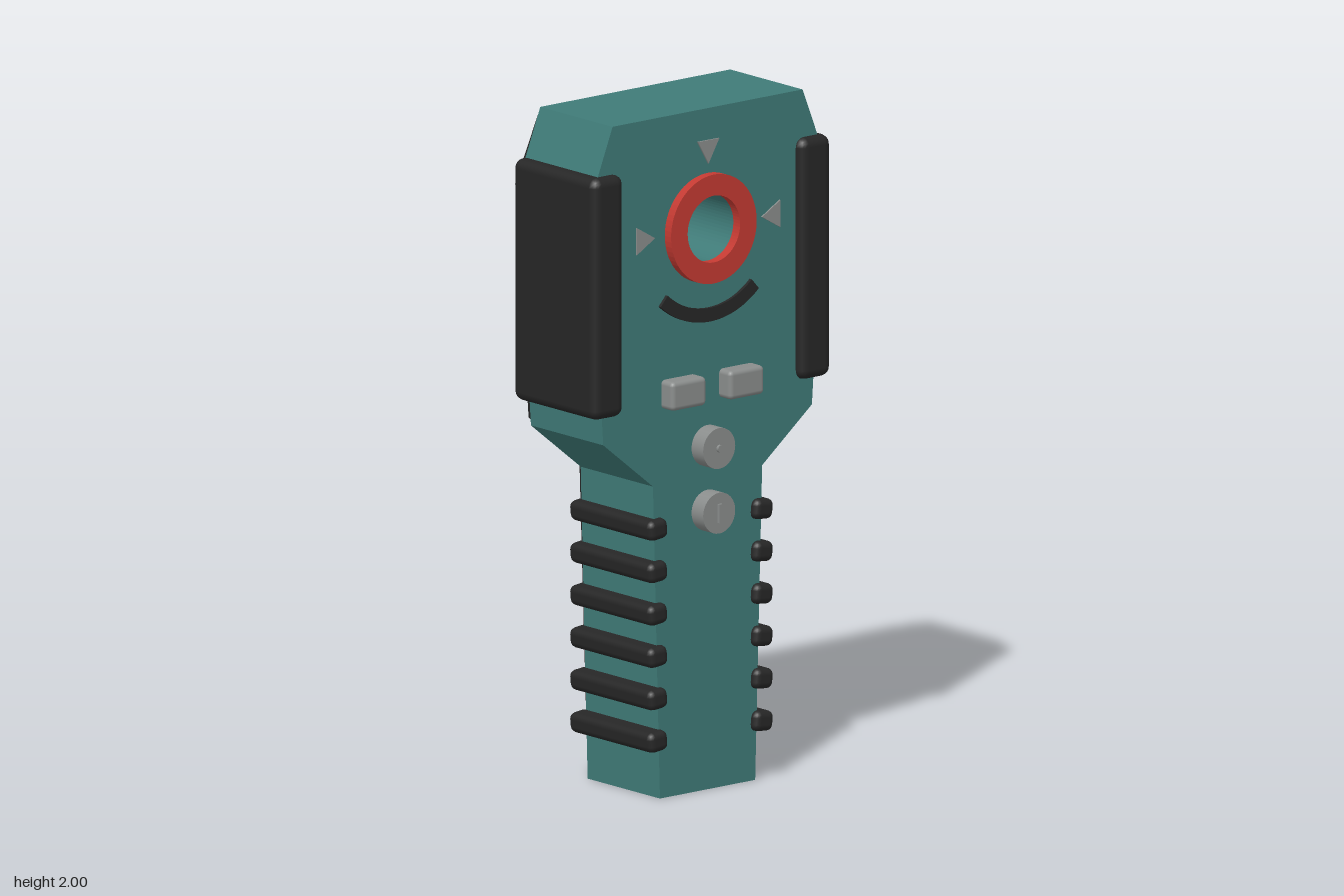
import * as THREE from 'three';
import { RoundedBoxGeometry } from 'three/addons/geometries/RoundedBoxGeometry.js';

const mat = (name, color) => new THREE.MeshStandardMaterial({ name, color });

export function createModel() {
  const teal = mat('teal shell', 0x3f7b78);
  const black = mat('black rubber', 0x262626);
  const red = mat('red ring', 0xc43a32);
  const grey = mat('grey control', 0x8a8d8c);
  const model = new THREE.Group();
  model.name = 'handheldDetector';
  const holeY = 1.65;

  const add = (name, geometry, material, x = 0, y = 0, z = 0) => {
    const mesh = new THREE.Mesh(geometry, material);
    mesh.name = name;
    mesh.position.set(x, y, z);
    model.add(mesh);
    return mesh;
  };
  const extrude = (shape, depth, bevel = 0) => new THREE.ExtrudeGeometry(shape, {
    depth: depth - 2 * bevel, curveSegments: 32, bevelEnabled: bevel > 0,
    bevelSize: bevel, bevelOffset: -bevel, bevelThickness: bevel, bevelSegments: 2,
  }).translate(0, 0, bevel);
  const polygon = (pts) => new THREE.Shape(pts.map(([x, y]) => new THREE.Vector2(x, y)));
  const punch = (shape, y, r) => {
    shape.holes.push(new THREE.Path().absarc(0, y, r, 0, Math.PI * 2, true));
    return shape;
  };
  // Symmetric outline from its right half, listed bottom to top
  const outline = (half) => punch(
    polygon([...half, ...half.map(([x, y]) => [-x, y]).reverse()]), holeY, 0.1);
  const ring = (outer, inner) => punch(
    new THREE.Shape().absarc(0, 0, outer, 0, Math.PI * 2, false), 0, inner);
  const block = (name, w, h, d, r, material, x, y, z) =>
    add(name, new RoundedBoxGeometry(w, h, d, 2, r), material, x, y, z);

  // Shell and back cover, both pierced by the viewing hole
  add('shell', extrude(outline([
    [0.178, 0], [0.204, 0.92], [0.39, 1.07], [0.438, 1.79], [0.355, 2],
  ]), 0.32), teal, 0, 0, -0.155);
  add('backCover', extrude(outline([
    [0.155, 0.03], [0.185, 0.93], [0.375, 1.085], [0.425, 1.78], [0.34, 1.97],
  ]), 0.034, 0.006), black, 0, 0, -0.187);

  // Rings around the hole
  add('frontRing', extrude(ring(0.16, 0.098), 0.03), red, 0, holeY, 0.163);
  add('backRing', extrude(ring(0.162, 0.1), 0.03, 0.01), black, 0, holeY, -0.208);

  // Mirrored side pads, grip ribs, buttons and rear feet
  for (const s of [-1, 1]) {
    block('sidePad', 0.115, 0.71, 0.37, 0.028, black, s * 0.387, 1.505, 0.008);
    for (let i = 0; i < 6; i++) {
      const rib = block('gripRib', 0.07, 0.06, 0.37, 0.02, black,
        s * 0.197, 0.172 + i * 0.1245, 0.005);
      rib.rotation.z = -s * 0.1;
    }
    block('button', 0.13, 0.085, 0.07, 0.014, grey, s * 0.108, 1.185, 0.18);
    block('rearFoot', 0.158, 0.17, 0.06, 0.016, black, s * 0.239, 1.815, -0.195);
  }
  block('batteryDoor', 0.26, 0.3, 0.06, 0.018, black, 0, 0.23, -0.195);

  // Direction marks
  add('topMark', extrude(polygon([[-0.04, 1.907], [0, 1.838], [0.04, 1.907]]), 0.006),
    grey, 0, 0, 0.164);
  add('leftMark', extrude(polygon([[0.268, 1.61], [0.268, 1.69], [0.2, 1.65]]), 0.006),
    grey, 0, 0, 0.164);
  add('rightMark', extrude(polygon([[-0.268, 1.61], [-0.2, 1.65], [-0.268, 1.69]]), 0.006),
    grey, 0, 0, 0.164);

  // Curved indicator strip under the ring
  const mid = -Math.PI / 2, half = 0.73;
  const arc = new THREE.Shape();
  arc.absarc(0, 0, 0.275, mid - half, mid + half, false);
  arc.absarc(0, 0, 0.235, mid + half, mid - half, true);
  add('indicatorArc', extrude(arc, 0.012), black, 0, holeY, 0.163);

  // Round controls with a raised dot and a raised bar
  for (const y of [1.01, 0.82]) {
    add('knob', new THREE.CylinderGeometry(0.06, 0.06, 0.055, 32).rotateX(Math.PI / 2),
      grey, 0, y, 0.189);
  }
  add('knobDot', new THREE.CylinderGeometry(0.011, 0.011, 0.012, 16).rotateX(Math.PI / 2),
    grey, 0, 1.01, 0.219);
  add('knobBar', new THREE.BoxGeometry(0.012, 0.055, 0.012), grey, 0, 0.82, 0.219);

  return model;
}
